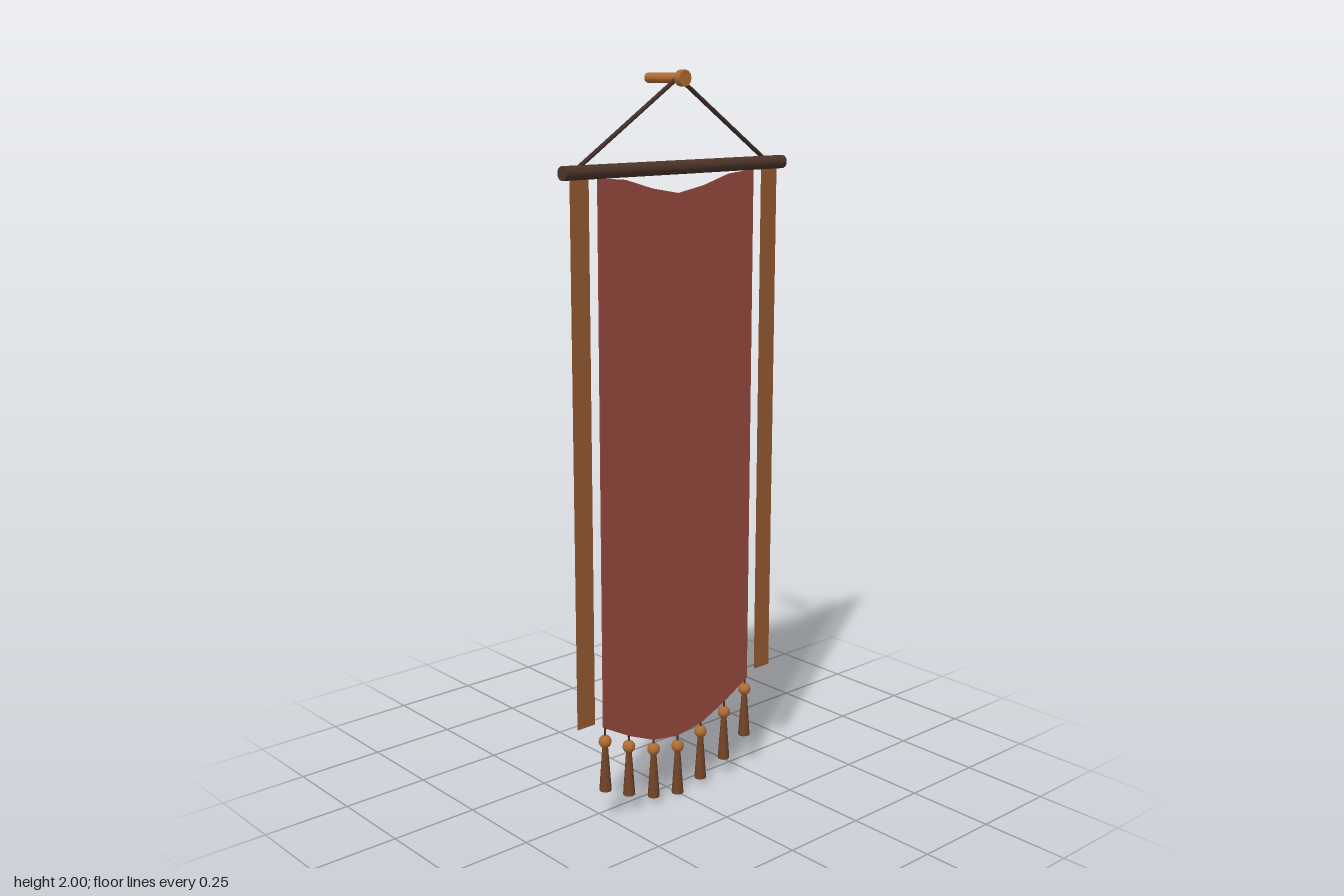
import * as THREE from 'three';

const Z = 0.047; // plane in which the banner hangs

const material = (color, extra = {}) => {
  const m = new THREE.MeshStandardMaterial(extra);
  m.color.set(color);
  return m;
};

export function createModel() {
  const model = new THREE.Group();
  const darkWood = material(0x4d3429);
  const cordMat = material(0x45302a);
  const wood = material(0xb06c34);
  const threadMat = material(0x754528);
  const clothMat = material(0x96493f);
  const ribbonMat = material(0x94592f, { side: THREE.DoubleSide });

  const add = (name, geometry, mat, x, y, z, parent = model) => {
    const mesh = new THREE.Mesh(geometry, mat);
    mesh.name = name;
    mesh.position.set(x, y, z);
    parent.add(mesh);
    return mesh;
  };

  // Thin straight cord between two points
  const cord = (name, a, b, radius, parent = model) => {
    const dir = b.clone().sub(a);
    const mid = a.clone().add(b).multiplyScalar(0.5);
    const mesh = add(name, new THREE.CylinderGeometry(radius, radius, dir.length(), 8), cordMat, mid.x, mid.y, mid.z, parent);
    mesh.quaternion.setFromUnitVectors(new THREE.Vector3(0, 1, 0), dir.normalize());
  };

  // Wall peg with a wider head at the front
  add('pegShaft', new THREE.CylinderGeometry(0.013, 0.013, 0.125, 12).rotateX(Math.PI / 2), wood, 0, 1.98, -0.0105);
  add('pegHead', new THREE.CylinderGeometry(0.021, 0.021, 0.02, 12).rotateX(Math.PI / 2), wood, 0, 1.98, 0.062);

  // Hanging rod and the two cords up to the peg
  add('rod', new THREE.CylinderGeometry(0.018, 0.018, 0.762, 16).rotateZ(Math.PI / 2), darkWood, 0, 1.756, Z);
  for (const [name, x] of [['rightCord', -0.33], ['leftCord', 0.312]]) {
    cord(name, new THREE.Vector3(x, 1.767, 0.045), new THREE.Vector3(0, 1.982, 0.045), 0.006);
  }

  // Cloth: sagging top edge, curved bottom edge
  const half = [[0, 1.69, 0.175], [0.09, 1.706, 0.188], [0.18, 1.732, 0.227], [0.27, 1.74, 0.277]];
  const row = [...half.slice(1).reverse().map(([x, t, b]) => [-x, t, b]), ...half];
  const outline = [
    ...row.map(([x, , b]) => new THREE.Vector2(x, b)),
    ...row.map(([x, t]) => new THREE.Vector2(x, t)).reverse(),
  ];
  const thickness = 0.004;
  add('cloth', new THREE.ExtrudeGeometry(new THREE.Shape(outline), { depth: thickness, bevelEnabled: false }),
    clothMat, 0, 0, Z - thickness / 2);

  // Long side ribbons
  for (const [name, x] of [['rightRibbon', -0.328], ['leftRibbon', 0.33]]) {
    add(name, new THREE.PlaneGeometry(0.06, 1.455), ribbonMat, x, 1.0225, Z);
  }

  // Tassels along the bottom edge: x, bead height, cloth edge height
  const tassels = [
    [-0.264, 0.236, 0.275], [-0.18, 0.196, 0.229], [-0.09, 0.161, 0.19], [0, 0.143, 0.177],
    [0.088, 0.161, 0.19], [0.18, 0.194, 0.229], [0.262, 0.243, 0.275],
  ];
  const bead = new THREE.SphereGeometry(0.018, 12, 8);
  const skirt = new THREE.CylinderGeometry(0.008, 0.017, 0.127, 8);
  for (const [x, y, edge] of tassels) {
    const tassel = new THREE.Group();
    tassel.name = 'tassel';
    tassel.position.set(x, y, Z);
    add('tasselBead', bead, wood, 0, 0, 0, tassel);
    add('tasselSkirt', skirt, threadMat, 0, -0.0795, 0, tassel);
    cord('tasselCord', new THREE.Vector3(0, 0, 0), new THREE.Vector3(0, edge - y, 0), 0.003, tassel);
    model.add(tassel);
  }

  return model;
}
